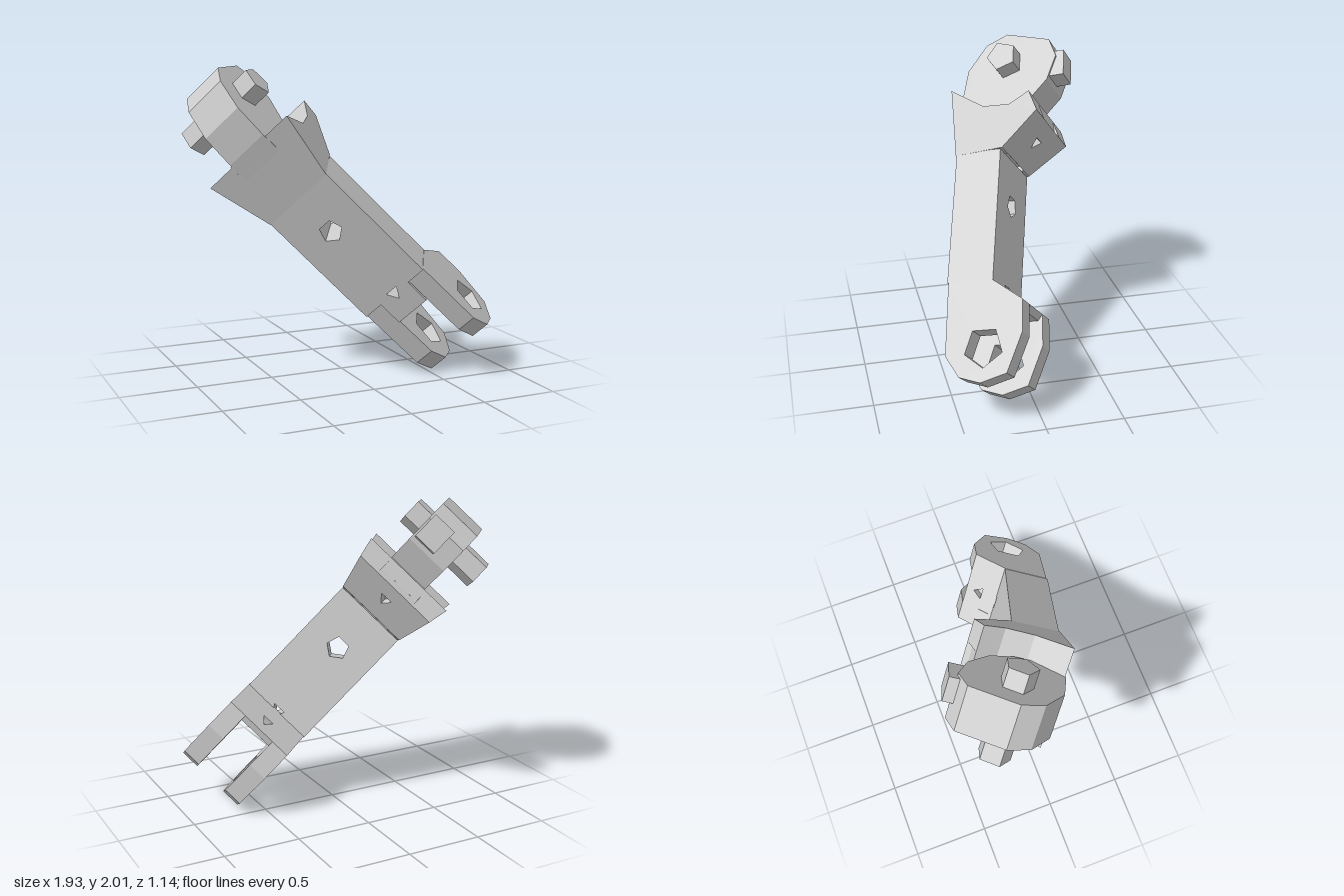
import * as THREE from 'three';

// Local frame: x runs down the arm, y is the arm's back, z is the pin axis.
const AXIS_LONG = new THREE.Vector3(0.684, -0.704, 0.191).normalize();
const AXIS_BACK = new THREE.Vector3(0.48, 0.237, -0.845).normalize();
const AXIS_PIN = new THREE.Vector3(0.55, 0.67, 0.5).normalize();

const material = new THREE.MeshStandardMaterial({ color: 0xcccccc, flatShading: true });

const toShape = (points) => new THREE.Shape(points.map(([x, y]) => new THREE.Vector2(x, y)));

// Regular polygon hole
function polyHole(cx, cy, r, sides, turn = 0) {
  const pts = [];
  for (let i = 0; i < sides; i++) {
    const t = turn + (i / sides) * Math.PI * 2;
    pts.push(new THREE.Vector2(cx + r * Math.cos(t), cy + r * Math.sin(t)));
  }
  return new THREE.Path(pts);
}

// Side profile extruded along the pin axis from z0 to z1
function profile(points, z0, z1, holes = []) {
  const shape = toShape(points);
  shape.holes.push(...holes);
  const geo = new THREE.ExtrudeGeometry(shape, { depth: z1 - z0, bevelEnabled: false });
  return geo.translate(0, 0, z0);
}

// Panel whose outer face starts at p and heads towards q, with its thickness going inwards
function panel(p, q, points, depth, holes) {
  const shape = toShape(points);
  shape.holes.push(...holes);
  const geo = new THREE.ExtrudeGeometry(shape, { depth, bevelEnabled: false });
  const u = new THREE.Vector3(q[0] - p[0], q[1] - p[1], 0).normalize();
  const v = new THREE.Vector3(0, 0, 1);
  const m = new THREE.Matrix4().makeBasis(u, v, u.clone().cross(v));
  return geo.applyMatrix4(m.setPosition(p[0], p[1], 0));
}

export function createModel() {
  const arm = new THREE.Group();
  arm.name = 'linkArm';
  const add = (name, geo) => {
    geo.computeVertexNormals();
    const mesh = new THREE.Mesh(geo, material);
    mesh.name = name;
    arm.add(mesh);
    return mesh;
  };

  // Rounded head plate and the pin through it
  add('headPlate', profile([
    [-1.26, 0.01], [-1.17, 0.31], [-1.04, 0.36], [-0.87, 0.3], [-0.72, 0.16],
    [-0.66, 0], [-0.66, -0.3], [-0.8, -0.305], [-1.02, -0.27], [-1.2, -0.14],
  ], -0.14, 0.155));
  const pin = add('pin', new THREE.CylinderGeometry(0.105, 0.105, 0.61, 5).rotateX(Math.PI / 2));
  pin.position.set(-1.03, 0.02, -0.025);
  const lug = add('headLug', new THREE.BoxGeometry(0.18, 0.14, 0.16));
  lug.position.set(-0.99, 0.34, 0.06);

  // Shoulder: two flared cheeks, a solid middle and a sloped panel with a hole
  const cheek = [
    [-0.782, -0.3], [-0.65, -0.08], [-0.64, 0.1], [-0.708, 0.24],
    [-0.58, 0.287], [-0.367, 0.037], [-0.35, -0.29],
  ];
  for (const [z0, z1, name] of [[0.15, 0.35, 'leftCheek'], [-0.35, -0.15, 'rightCheek']]) {
    const geo = profile(cheek, z0, z1);
    const pos = geo.attributes.position;
    for (let i = 0; i < pos.count; i++) {
      const z = pos.getZ(i);
      // The outer faces narrow towards the shaft
      if (Math.abs(z) > 0.2) {
        pos.setZ(i, Math.sign(z) * THREE.MathUtils.mapLinear(pos.getX(i), -0.782, -0.35, 0.346, 0.25));
      }
    }
    add(name, geo);
  }
  add('shoulderCore', profile([
    [-0.79, -0.3], [-0.65, -0.08], [-0.64, 0.1], [-0.708, 0.24],
    [-0.618, 0.255], [-0.405, 0.005], [-0.35, -0.29],
  ], -0.15, 0.15));
  add('shoulderPanel', panel([-0.58, 0.287], [-0.367, 0.037],
    [[0, -0.15], [0.328, -0.15], [0.328, 0.15], [0, 0.15]], 0.05,
    [polyHole(0.14, 0, 0.05, 3)]));

  // Shaft with a through hole and a small drain hole, narrowing between the fork plates
  add('shaft', panel([-0.36, 0.025], [0.7, 0], [
    [0, -0.25], [0.89, -0.25], [0.89, -0.12], [1.06, -0.12],
    [1.06, 0.12], [0.89, 0.12], [0.89, 0.25], [0, 0.25],
  ], 0.308, [polyHole(0.31, 0, 0.075, 5), polyHole(0.885, 0, 0.05, 3)]));

  // Fork plates with five-sided eyes
  const prong = [
    [0.52, -0.295], [0.52, -0.003], [0.663, 0.204], [0.87, 0.21],
    [1.118, 0.118], [1.17, -0.054], [1.13, -0.195], [0.994, -0.292],
  ];
  for (const [z0, z1, name] of [[0.125, 0.253, 'leftProng'], [-0.245, -0.115, 'rightProng']]) {
    add(name, profile(prong, z0, z1, [polyHole(0.95, -0.04, 0.13, 5)]));
  }

  // Raised web joining the two fork plates
  add('forkWeb', profile([[0.55, -0.06], [0.704, 0.176], [0.704, -0.06]], -0.12, 0.13));
  add('forkPanel', panel([0.52, -0.005], [0.663, 0.204],
    [[0, -0.12], [0.253, -0.12], [0.253, 0.13], [0, 0.13]], 0.05,
    [polyHole(0.15, 0, 0.045, 3)]));

  // Tilt the whole arm into place
  arm.applyMatrix4(new THREE.Matrix4().makeBasis(AXIS_LONG, AXIS_BACK, AXIS_PIN).setPosition(0, 1, 0));
  const model = new THREE.Group();
  model.name = 'forkedLink';
  model.add(arm);
  return model;
}
